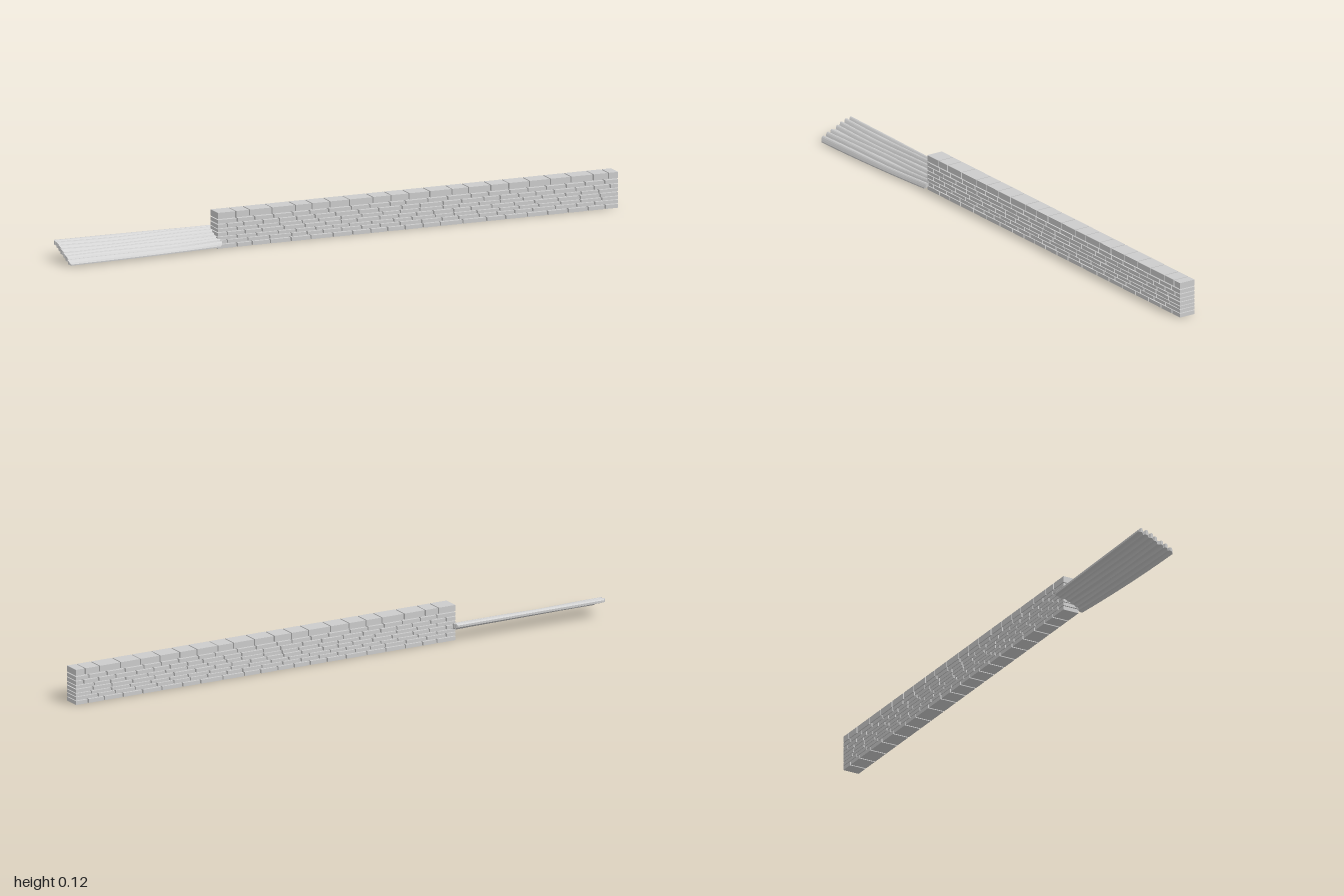
import * as THREE from 'three';

const grey = new THREE.MeshStandardMaterial({ color: 0xcccccc, flatShading: true });

function makeRandom(seed) {
  return () => {
    seed = (seed * 16807) % 2147483647;
    return seed / 2147483647;
  };
}

const WALL = { x0: -0.445, x1: 1, z0: -0.034, z1: 0.024 };

// One box brick running through the whole depth of the wall
function brick(name, x0, x1, y0, y1) {
  const geo = new THREE.BoxGeometry(x1 - x0, y1 - y0, WALL.z1 - WALL.z0);
  const mesh = new THREE.Mesh(geo, grey);
  mesh.name = name;
  mesh.position.set((x0 + x1) / 2, (y0 + y1) / 2, (WALL.z0 + WALL.z1) / 2);
  return mesh;
}

// A row of bricks between the given joints
function course(name, y0, y1, joints, gap) {
  const row = new THREE.Group();
  row.name = name;
  const ends = [WALL.x0 - gap / 2, ...joints, WALL.x1 + gap / 2];
  for (let i = 0; i < ends.length - 1; i++) {
    row.add(brick('brick', ends[i] + gap / 2, ends[i + 1] - gap / 2, y0, y1));
  }
  return row;
}

function createWall() {
  const wall = new THREE.Group();
  wall.name = 'brickWall';
  const random = makeRandom(71);
  const heights = [
    [0, 0.013], [0.016, 0.027], [0.0295, 0.039], [0.0415, 0.053],
    [0.056, 0.066], [0.0685, 0.081], [0.084, 0.0965],
  ];
  // Lower courses with staggered, uneven joints
  heights.forEach(([y0, y1], row) => {
    const joints = [];
    let x = WALL.x0 + (row % 2 ? 0.035 : 0.07);
    while (x < WALL.x1 - 0.025) {
      joints.push(x);
      x += 0.055 + random() * 0.03;
    }
    wall.add(course('brickCourse', y0, y1, joints, 0.005));
  });
  // Taller capping course
  const capJoints = [
    -0.38, -0.33, -0.25, -0.165, -0.105, -0.04, 0.03, 0.115, 0.18, 0.245, 0.32,
    0.4, 0.46, 0.54, 0.605, 0.68, 0.755, 0.83, 0.91, 0.965,
  ];
  wall.add(course('cappingCourse', 0.1, 0.121, capJoints, 0.004));
  return wall;
}

// Tilted ribbed sheet built from cross-sections along x
function createSheet() {
  const random = makeRandom(19);
  const ribs = 7, perRib = 6, across = ribs * perRib, stations = 10;
  const ring = 2 * (across + 1);
  const positions = [], index = [];
  const phase = Array.from({ length: ribs }, () => random() * 6.28);

  for (let s = 0; s <= stations; s++) {
    const u = s / stations;
    const zFront = 0.065 - 0.024 * u * u, zBack = -0.066 + 0.005 * u;
    const top = [], under = [];
    for (let j = 0; j <= across; j++) {
      const t = j / across;
      const rib = Math.min(ribs - 1, Math.floor(j / perRib));
      const drift = 0.0025 * Math.sin(t * Math.PI) * Math.sin(phase[rib] + u * 5);
      const z = THREE.MathUtils.lerp(zFront, zBack, t) + drift;
      // Ends of the ribs are slightly uneven
      const bulge = Math.abs(Math.sin(t * ribs * Math.PI));
      const x = THREE.MathUtils.lerp(-1 + 0.008 * (1 - bulge), -0.434 - 0.005 * (1 - bulge), u);
      const wobble = 0.0015 * Math.sin(phase[rib] * 2 + u * 7);
      const edge = Math.min(1, 6 * t, 6 * (1 - t));
      const base = 0.004 + 0.053 * Math.pow(t, 0.95) - 0.003 * u * t + 0.004 * u * (1 - t);
      const thick = 0.004 + 0.005 * edge;
      top.push([x, base + thick + 0.007 * bulge + wobble * edge, z]);
      under.push([x, base + 0.003 * bulge * edge - 0.003 * Math.min(1, t * 4), z]);
    }
    for (const p of [...top, ...under.reverse()]) positions.push(...p);
  }

  // Skin
  for (let s = 0; s < stations; s++) {
    for (let j = 0; j < ring; j++) {
      const k = (j + 1) % ring;
      const a = s * ring + j, b = a + ring, c = s * ring + k, d = c + ring;
      index.push(a, b, c, b, d, c);
    }
  }
  // End caps
  const last = stations * ring;
  for (let j = 0; j < across; j++) {
    const t0 = j, t1 = j + 1, b0 = ring - 1 - j, b1 = ring - 2 - j;
    index.push(last + t0, last + b0, last + b1, last + t0, last + b1, last + t1);
    index.push(t0, b1, b0, t0, t1, b1);
  }

  const geo = new THREE.BufferGeometry();
  geo.setAttribute('position', new THREE.Float32BufferAttribute(positions, 3));
  geo.setIndex(index);
  geo.computeVertexNormals();
  const mesh = new THREE.Mesh(geo, grey);
  mesh.name = 'ribbedSheet';
  return mesh;
}

export function createModel() {
  const model = new THREE.Group();
  model.name = 'wallWithRibbedSheet';
  model.add(createWall(), createSheet());
  return model;
}
